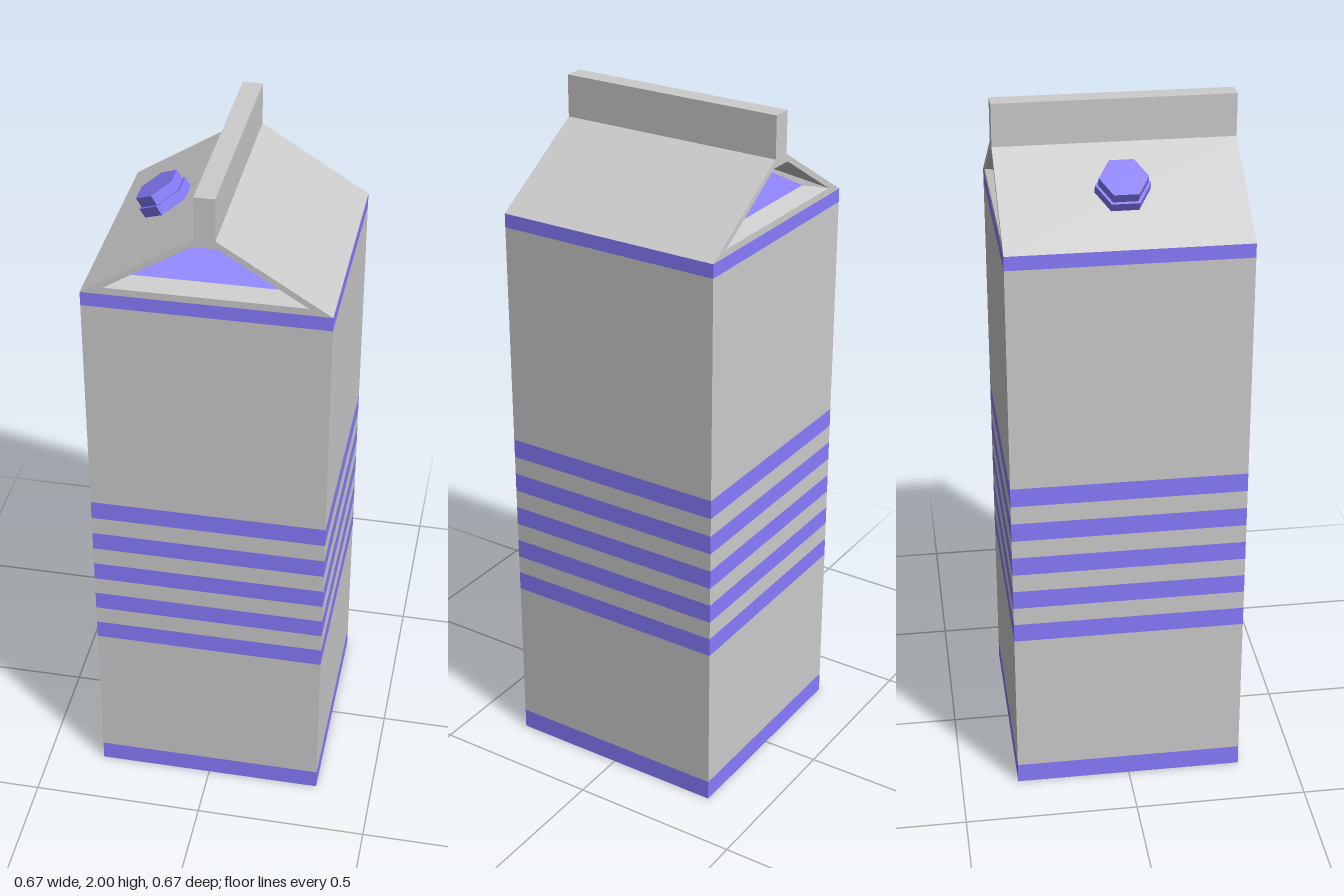
import * as THREE from 'three';

const W = 0.333;          // half width of the carton
const EAVE = 1.69;        // top of the straight walls
const FIN = 0.028;        // half thickness of the top fin
const FIN_Y = 1.88;       // where the fin leaves the roof
const TOP = 2;

const grey = new THREE.MeshStandardMaterial({ color: 0xcccccc, flatShading: true });
const purple = new THREE.MeshStandardMaterial({ color: 0x877dff, flatShading: true });

function mesh(name, geometry, material) {
  const m = new THREE.Mesh(geometry, material);
  m.name = name;
  return m;
}

// Flat four-cornered faces, corners counter-clockwise from outside
function quads(list) {
  const pos = [];
  for (const [a, b, c, d] of list) pos.push(...a, ...b, ...c, ...a, ...c, ...d);
  const g = new THREE.BufferGeometry();
  g.setAttribute('position', new THREE.Float32BufferAttribute(pos, 3));
  g.computeVertexNormals();
  return g;
}

// Open square sleeve between two heights
function band(name, y0, y1, material) {
  const r = W * Math.SQRT2;
  const g = new THREE.CylinderGeometry(r, r, y1 - y0, 4, 1, true);
  g.rotateY(Math.PI / 4).translate(0, (y0 + y1) / 2, 0);
  return mesh(name, g, material);
}

// Gable end facing +z: framed opening with a panel folded inwards
function gableEnd() {
  const end = new THREE.Group();
  end.name = 'gableEnd';
  const hole = [[-0.27, 1.71], [0.27, 1.71], [0.035, 1.857], [-0.035, 1.857]];
  const fold = [
    [-0.21, 1.727, W - 0.05], [0.21, 1.727, W - 0.05],
    [0.03, 1.85, W - 0.2], [-0.03, 1.85, W - 0.2],
  ];
  const v = (p) => p.map(([x, y]) => new THREE.Vector2(x, y));
  const frame = new THREE.Shape(v([
    [-W, EAVE], [W, EAVE], [FIN, FIN_Y], [FIN, TOP], [-FIN, TOP], [-FIN, FIN_Y],
  ]));
  frame.holes.push(new THREE.Path(v(hole).reverse()));
  end.add(mesh('gableFrame', new THREE.ShapeGeometry(frame).translate(0, 0, W), grey));

  const rim = hole.map(([x, y]) => [x, y, W]);
  const walls = rim.map((p, i) => {
    const j = (i + 1) % 4;
    return [p, rim[j], fold[j], fold[i]];
  });
  end.add(mesh('gableRecess', quads(walls), grey));
  end.add(mesh('gablePanel', quads([fold]), purple));
  return end;
}

export function createModel() {
  const carton = new THREE.Group();
  carton.name = 'carton';

  // Walls: coloured stripes with grey sleeves between them
  const stripes = [[0, 0.06]];
  for (let i = 0; i < 5; i++) stripes.push([0.5 + i * 0.111, 0.556 + i * 0.111]);
  stripes.push([1.65, EAVE]);
  stripes.forEach(([y0, y1], i) => {
    carton.add(band('stripe', y0, y1, purple));
    if (i < stripes.length - 1) carton.add(band('wall', y1, stripes[i + 1][0], grey));
  });
  carton.add(mesh('base', new THREE.PlaneGeometry(2 * W, 2 * W).rotateX(Math.PI / 2), grey));

  // Roof slopes and fin: the right half, then the same turned half round
  const side = [[W, EAVE], [FIN, FIN_Y], [FIN, TOP], [0, TOP]];
  const faces = [];
  for (let i = 0; i < 3; i++) {
    const [a, b] = [side[i], side[i + 1]];
    faces.push([[...a, W], [...a, -W], [...b, -W], [...b, W]]);
  }
  for (const turn of [0, Math.PI]) {
    const half = mesh('roofAndFin', quads(faces), grey);
    half.rotation.y = turn;
    const end = gableEnd();
    end.rotation.y = turn;
    carton.add(half, end);
  }

  // Two-step hexagonal screw cap standing on the sloping roof
  const cap = new THREE.Group();
  cap.name = 'cap';
  const tier = (name, r, y) =>
    mesh(name, new THREE.CylinderGeometry(r, r, 0.03, 6).translate(0, y, 0), purple);
  cap.add(tier('capCollar', 0.075, 0.014), tier('capTop', 0.067, 0.044));
  cap.position.set(-0.169, 1.792, 0);
  cap.rotation.z = Math.atan2(FIN_Y - EAVE, W - FIN);
  carton.add(cap);

  return carton;
}
